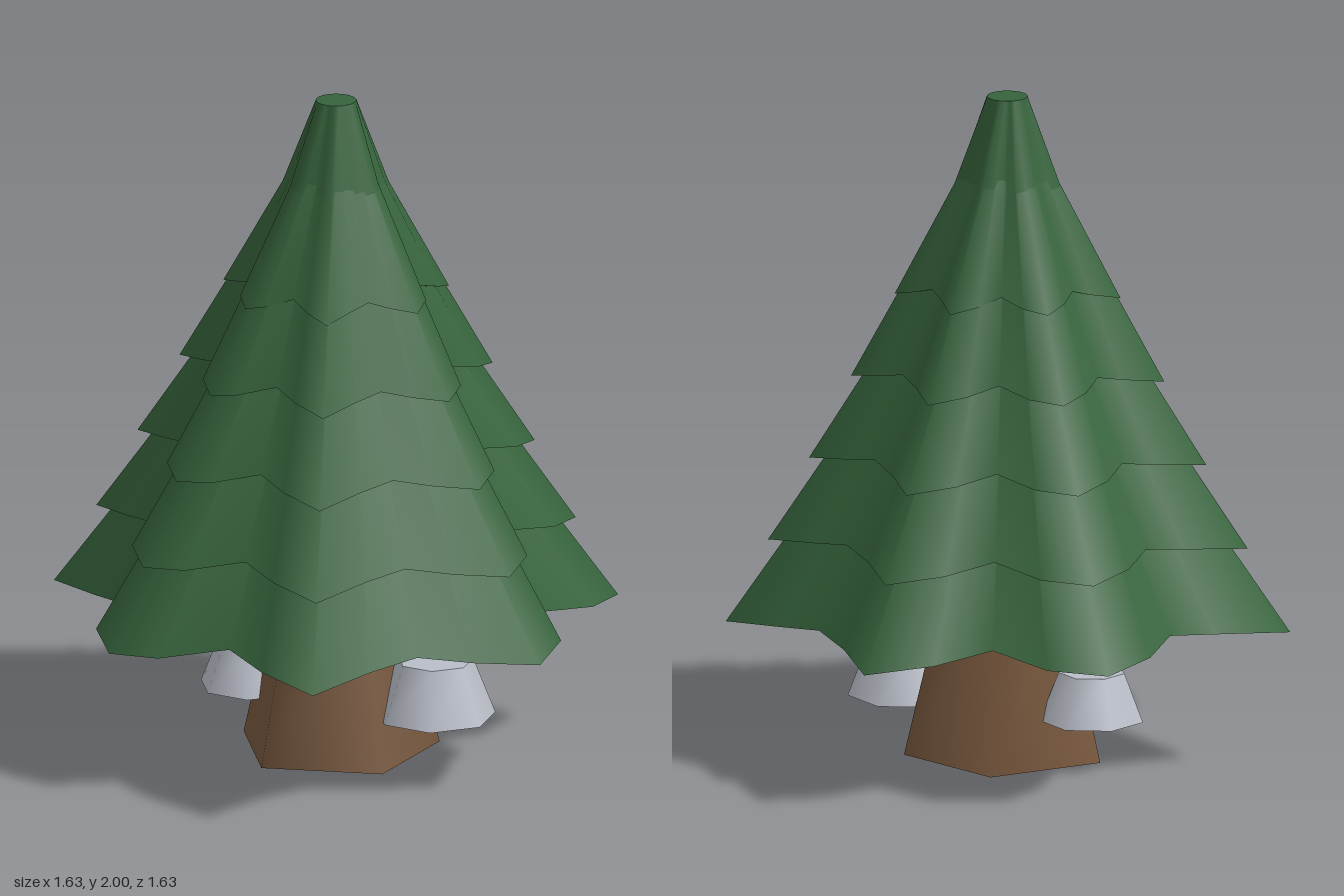
import * as THREE from 'three';

const mat = (name, color, side = THREE.FrontSide) => {
  const m = new THREE.MeshStandardMaterial({ color, side });
  m.name = name;
  return m;
};

// Radius of the lowest skirt at 28 even angles: seven uneven lobes
const LOBES = [
  0.84, 0.76, 0.606, 0.768, 0.824, 0.733, 0.662, 0.705, 0.865, 0.732,
  0.624, 0.77, 0.808, 0.759, 0.637, 0.717, 0.872, 0.708, 0.652, 0.744,
  0.809, 0.77, 0.612, 0.744, 0.851, 0.712, 0.674, 0.723,
];
const N = LOBES.length;
const TIP = 0.06;

// Foliage tiers from the bottom up: [scale, height]
const TIERS = [[1, 1.09], [0.85, 0.95], [0.704, 0.82], [0.555, 0.72], [0.4, 0.51], [0.225, 0.345]];

function geometry(positions, index) {
  const g = new THREE.BufferGeometry();
  g.setAttribute('position', new THREE.Float32BufferAttribute(positions, 3));
  g.setIndex(index);
  g.computeVertexNormals();
  return g;
}

// One tier: wavy lobed hem narrowing to a small round tip, plus its underside
function tierGeometries(scale, y, height) {
  const hem = [], tip = [], side = [], under = [];
  for (let i = 0; i < N; i++) {
    const a = (i / N) * Math.PI * 2, r = LOBES[i] * scale;
    const lift = 0.02 * (1 - Math.cos(7 * a));
    hem.push(Math.cos(a) * r, y + lift, Math.sin(a) * r);
    tip.push(Math.cos(a) * TIP, y + height, Math.sin(a) * TIP);
    const j = (i + 1) % N;
    side.push(i, N + i, j, N + i, N + j, j);
    under.push(N, i, j);
  }
  return {
    side: geometry([...hem, ...tip], side),
    under: geometry([...hem, 0, y + 0.02, 0], under),
  };
}

export function createModel() {
  const model = new THREE.Group();
  model.name = 'pineTree';
  const green = mat('needleGreen', 0x36633c);
  const brown = mat('barkBrown', 0x77573d, THREE.DoubleSide);
  const grey = mat('pailGrey', 0xbabec8, THREE.DoubleSide);

  const add = (parent, name, geo, material, x = 0, y = 0, z = 0) => {
    const mesh = new THREE.Mesh(geo, material);
    mesh.name = name;
    mesh.position.set(x, y, z);
    parent.add(mesh);
  };

  // Flared tube with a corner towards +x, open at both ends
  const tube = (top, bottom, height, sides) =>
    new THREE.CylinderGeometry(top, bottom, height, sides, 1, true, Math.PI / 2);
  const disc = (r, sides) => new THREE.CircleGeometry(r, sides).rotateX(-Math.PI / 2);

  // Tree stands slightly off centre
  const tree = new THREE.Group();
  tree.name = 'tree';
  tree.position.set(-0.027, 0, -0.027);
  model.add(tree);

  // Foliage tiers, smaller and shorter towards the top
  TIERS.forEach(([scale, height], i) => {
    const { side, under } = tierGeometries(scale, 0.43 + 0.245 * i, height);
    add(tree, `foliageTier${i + 1}`, side, green);
    add(tree, `foliageUnderside${i + 1}`, under, green);
  });
  add(tree, 'treeTip', disc(TIP, N), green, 0, 2, 0);

  // Five-sided flared trunk, hollow from below
  add(tree, 'trunk', tube(0.19, 0.308, 0.5, 5), brown, 0, 0.25, 0);

  // Upturned pails hung on the trunk, open at the bottom
  const addPail = (name, top, bottom, height, x, z) => {
    const pail = new THREE.Group();
    pail.name = name;
    pail.position.set(x, 0.14, z);
    add(pail, 'pailWall', tube(top, bottom, height, 7), grey, 0, height / 2, 0);
    add(pail, 'pailBase', disc(top, 7), grey, 0, height, 0);
    model.add(pail);
  };
  addPail('frontPail', 0.114, 0.18, 0.17, 0.242, 0.15);
  addPail('backPail', 0.1, 0.157, 0.145, -0.25, -0.22);

  return model;
}
